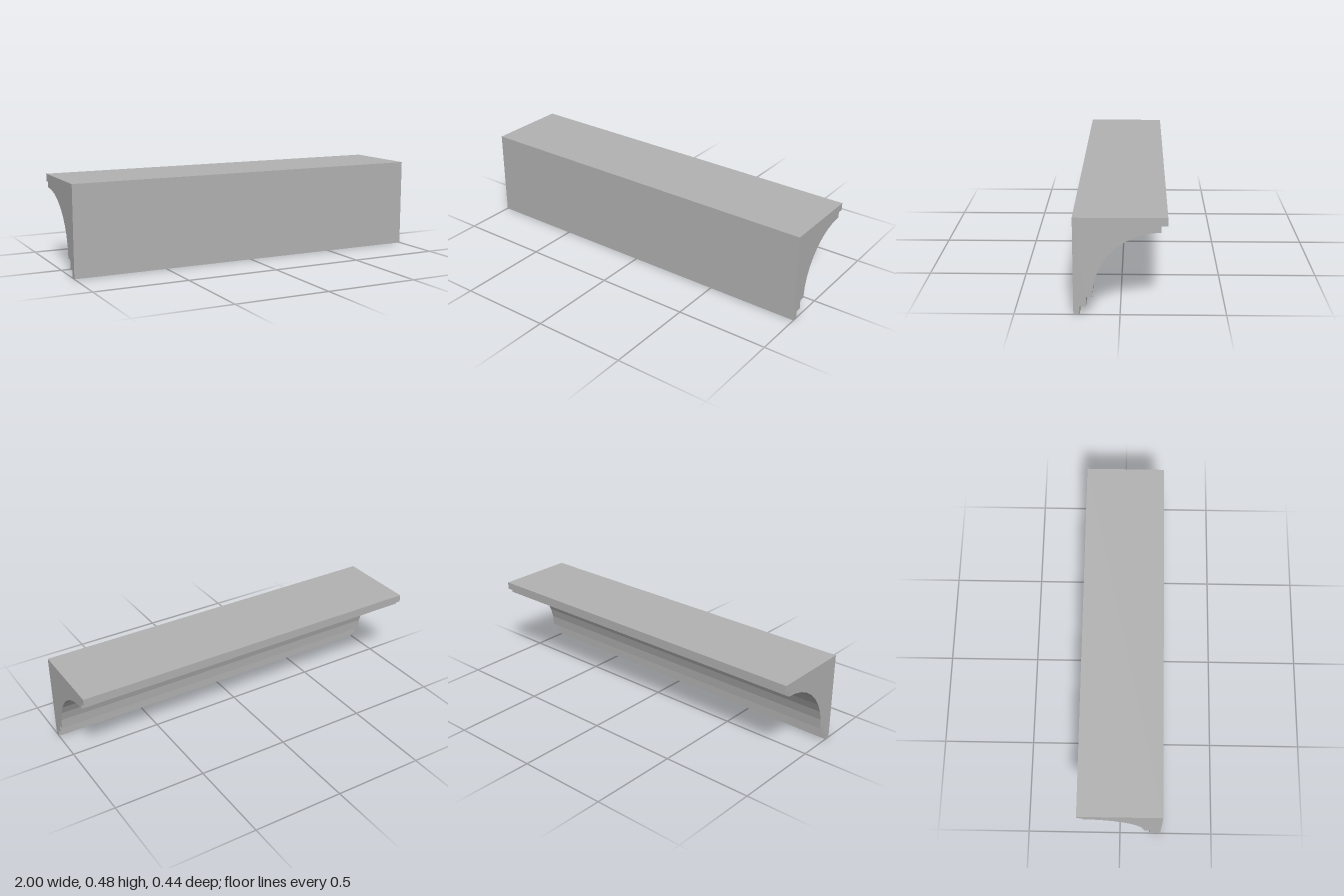
import * as THREE from 'three';

export function createModel() {
  const model = new THREE.Group();
  model.name = 'coveMoulding';
  const plaster = new THREE.MeshStandardMaterial({ color: 0xb2b2b2 });
  plaster.name = 'plaster grey';

  // Cross-section: horizontal axis is depth towards the back, vertical is height
  const profile = [
    [-0.22, 0.48], [-0.22, 0], [-0.19, 0], [-0.19, 0.04], [-0.16, 0.04], [-0.16, 0.09],
  ];
  // Concave quarter round in nine facets
  const radius = 0.32, facets = 9;
  for (let i = 0; i <= facets; i++) {
    const a = (i / facets) * Math.PI / 2;
    profile.push([0.19 - radius * Math.cos(a), 0.09 + radius * Math.sin(a)]);
  }
  // Upper step and lip
  profile.push([0.19, 0.44], [0.22, 0.44], [0.22, 0.48]);

  const shape = new THREE.Shape(profile.map(([x, y]) => new THREE.Vector2(x, y)));
  // Sweep the section along the length; extruded walls keep flat facets
  const length = 2;
  const geometry = new THREE.ExtrudeGeometry(shape, { depth: length, bevelEnabled: false });
  geometry.translate(0, 0, -length / 2);
  geometry.rotateY(Math.PI / 2);

  const moulding = new THREE.Mesh(geometry, plaster);
  moulding.name = 'moulding';
  model.add(moulding);
  return model;
}
